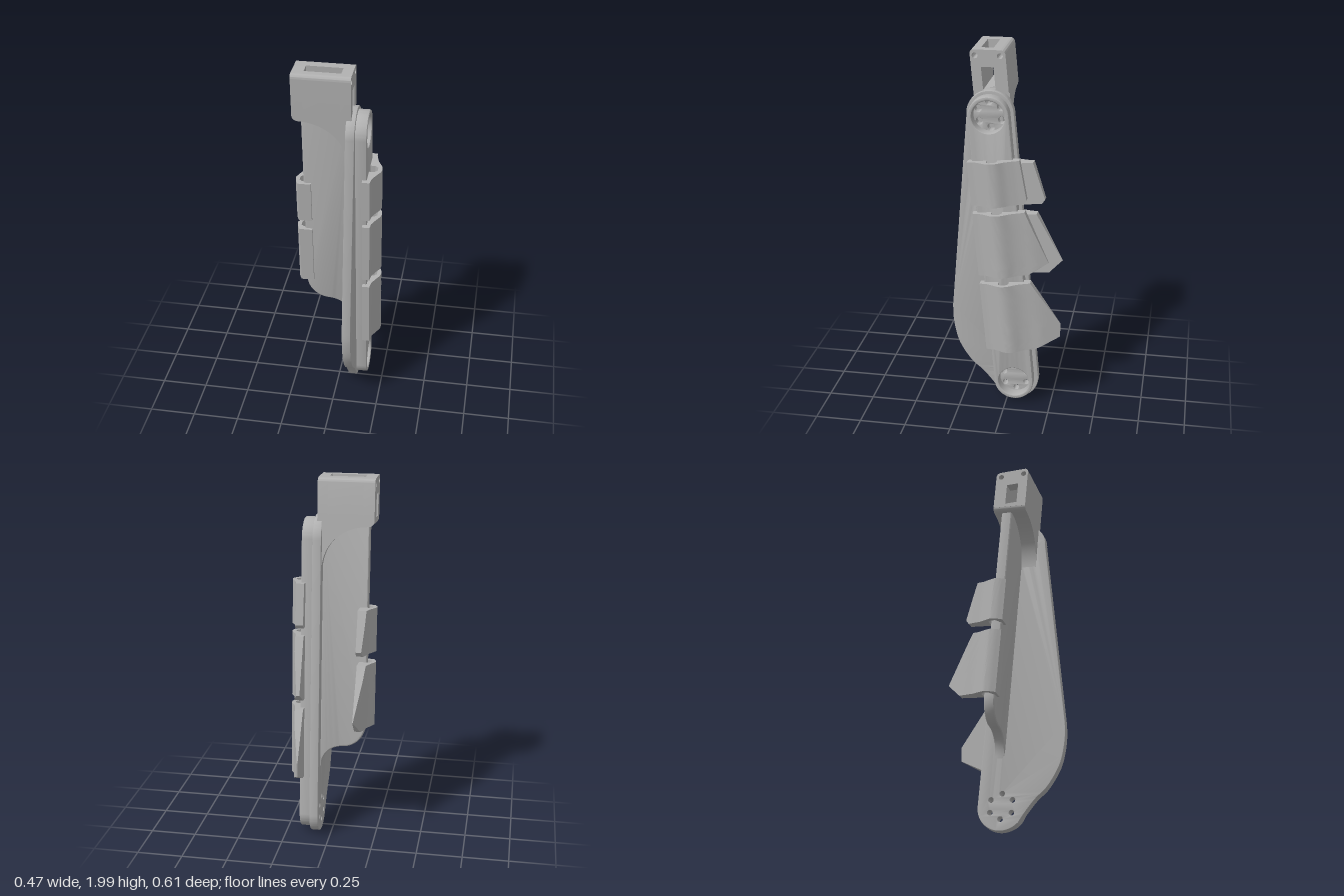
import * as THREE from 'three';
import { toCreasedNormals } from 'three/addons/utils/BufferGeometryUtils.js';

// Leg frame: x = width, v = along the leg, u = across the leg towards the back (local z = -u)
const TILT = 0.088;
const KNEE = 1.536; // distance between the two joint centres

export function createModel() {
  const grey = new THREE.MeshStandardMaterial({ color: 0xb0b0b0 });
  grey.name = 'grey';
  const model = new THREE.Group();
  model.name = 'legLink';
  const leg = new THREE.Group();
  leg.name = 'tiltedLeg';
  leg.position.set(0, 0.14, -0.045);
  leg.rotation.x = TILT;
  model.add(leg);

  const add = (name, geometry, crease = 0.5) => {
    const mesh = new THREE.Mesh(toCreasedNormals(geometry, crease), grey);
    mesh.name = name;
    leg.add(mesh);
  };

  const circle = (u, v, r) => new THREE.Path().absarc(u, v, r, 0, Math.PI * 2, true);

  // Extrudes a (u, v) outline from x0 to x1, or an (x, v) outline from z0 to z1
  const extrude = (shape, a, b, bevel, alongX) => {
    const g = new THREE.ExtrudeGeometry(shape, {
      depth: b - a - 2 * bevel, curveSegments: 20, bevelEnabled: bevel > 0,
      bevelSize: bevel, bevelThickness: bevel, bevelOffset: -bevel, bevelSegments: 3,
    });
    g.translate(0, 0, a + bevel);
    return alongX ? g.rotateY(Math.PI / 2) : g;
  };

  // Six bolt holes around each joint
  const boltHoles = (shape) => {
    for (const v of [0, KNEE]) {
      for (let i = 0; i < 6; i++) {
        const t = (i / 6) * Math.PI * 2 + Math.PI / 2;
        shape.holes.push(circle(0.068 * Math.cos(t), v + 0.068 * Math.sin(t), v ? 0.018 : 0.014));
      }
    }
  };

  // Side plate with the bulging front edge
  const plate = new THREE.Shape();
  plate.moveTo(0.125, KNEE);
  plate.absarc(0, KNEE, 0.125, 0, Math.PI, false);
  plate.lineTo(-0.313, 0.45);
  plate.splineThru([[-0.318, 0.36], [-0.308, 0.26], [-0.285, 0.186], [-0.237, 0.1],
    [-0.182, 0.041], [-0.133, -0.028], [-0.1, -0.083]].map((p) => new THREE.Vector2(...p)));
  plate.absarc(0, 0, 0.13, Math.PI + 0.69, Math.PI * 2, false);
  boltHoles(plate);
  add('sidePlate', extrude(plate, 0.06, 0.108, 0.004, true));

  // Raised rail with a round recess at each joint
  const rail = new THREE.Shape();
  rail.absarc(0, KNEE, 0.108, 0, Math.PI, false);
  rail.absarc(0, 0, 0.108, Math.PI, Math.PI * 2, false);
  rail.holes.push(circle(0, 0, 0.086), circle(0, KNEE, 0.086));
  add('rail', extrude(rail, 0.104, 0.168, 0.007, true));

  // Rear panel with an S-shaped lower end
  const panel = new THREE.Shape();
  panel.moveTo(0.07, 1.63);
  panel.lineTo(-0.187, 1.63);
  panel.lineTo(-0.187, 0.53);
  panel.bezierCurveTo(-0.187, 0.45, -0.13, 0.39, -0.06, 0.39);
  panel.bezierCurveTo(0.0, 0.385, 0.05, 0.35, 0.06, 0.26);
  panel.lineTo(0.07, 0.26);
  add('rearPanel', extrude(panel, -0.064, -0.004, 0.012, false));

  // Curved web joining the mount to the plate
  const web = new THREE.Shape();
  web.moveTo(0.062, 1.64);
  web.lineTo(-0.215, 1.64);
  web.quadraticCurveTo(-0.212, 1.615, -0.185, 1.612);
  web.bezierCurveTo(-0.06, 1.61, 0.06, 1.53, 0.062, 1.365);
  add('mountWeb', extrude(web, -0.104, 0.08, 0, false));

  // Top mount: two ends with a window, and a middle that opens into the top slot
  const U0 = -0.08, U1 = 0.104, W0 = -0.028, W1 = 0.037;
  const topV = (u) => 1.874 - 0.087 * (u - U0);
  const mount = (open) => {
    const s = new THREE.Shape();
    s.moveTo(U0, 1.635);
    s.lineTo(U1, 1.635);
    s.lineTo(U1, topV(U1) - 0.025);
    s.quadraticCurveTo(U1, topV(U1), U1 - 0.025, topV(U1 - 0.025));
    if (open) {
      s.lineTo(W1, topV(W1));
      s.lineTo(W1, 1.66);
      s.lineTo(W0, 1.66);
      s.lineTo(W0, topV(W0));
    } else {
      const w = new THREE.Path();
      w.moveTo(W0, 1.66);
      w.lineTo(W0, 1.78);
      w.lineTo(W1, 1.775);
      w.lineTo(W1, 1.655);
      w.closePath();
      s.holes.push(w);
    }
    s.lineTo(U0 + 0.025, topV(U0 + 0.025));
    s.quadraticCurveTo(U0, topV(U0), U0, topV(U0) - 0.025);
    s.holes.push(circle(-0.055, 1.841, 0.015), circle(0.075, 1.83, 0.015));
    return s;
  };
  [[-0.215, -0.155, false], [-0.155, 0.032, true], [0.032, 0.086, false]].forEach(([a, b, open], i) =>
    add(['mountOuterEnd', 'mountMiddle', 'mountInnerEnd'][i], extrude(mount(open), a, b, 0, true)));

  // Finned guard: rows are [v, back edge u]; profile lists [u, outer x]
  const finGuard = (name, side, profile, channel, rows) => {
    const outerX = (u) => {
      let i = 1;
      while (i < profile.length - 1 && u > profile[i][0]) i++;
      const [a, b] = [profile[i - 1], profile[i]];
      return a[1] + (b[1] - a[1]) * Math.min(1, (u - a[0]) / (b[0] - a[0]));
    };
    const N = 24, IN = 0.145, front = profile[0][0];
    const section = (back) => {
      const ring = [];
      for (let j = 0; j <= N; j++) {
        const u = front + (back - front) * (j / N);
        ring.push(new THREE.Vector2(outerX(u), u));
      }
      [[IN, back - 0.002], [IN, channel + 0.028], [0.195, channel + 0.028], [0.211, channel + 0.014],
        [0.211, channel - 0.014], [0.195, channel - 0.028], [IN, channel - 0.028], [IN, front]]
        .forEach((p) => ring.push(new THREE.Vector2(...p)));
      return ring;
    };
    // Extra rows between the given ones keep the fin surface even
    const fine = [];
    rows.forEach((r, i) => {
      if (i) for (let k = 1; k < 4; k++) fine.push(rows[i - 1].map((q, c) => q + (r[c] - q) * (k / 4)));
      fine.push(r);
    });
    const pos = [], idx = [];
    const rings = fine.map(([v, back]) => {
      const ring = section(back);
      ring.forEach((p) => pos.push(side * p.x, v, -p.y));
      return ring;
    });
    const M = rings[0].length;
    const tri = (a, b, c) => idx.push(...(side > 0 ? [a, b, c] : [a, c, b]));
    for (let i = 0; i < rings.length - 1; i++) {
      for (let j = 0; j < M; j++) {
        const a = i * M + j, b = i * M + ((j + 1) % M);
        tri(a, b, a + M);
        tri(b, b + M, a + M);
      }
    }
    for (const end of [0, rings.length - 1]) {
      const ring = rings[end];
      for (const [a, b, c] of THREE.ShapeUtils.triangulateShape(ring, [])) {
        const area = THREE.ShapeUtils.area([ring[a], ring[b], ring[c]]);
        const o = end * M;
        if ((area > 0) === (end > 0)) tri(o + a, o + b, o + c);
        else tri(o + a, o + c, o + b);
      }
    }
    const g = new THREE.BufferGeometry();
    g.setAttribute('position', new THREE.Float32BufferAttribute(pos, 3));
    g.setIndex(idx);
    add(name, g, 0.45);
  };

  // Three guards on the left side
  const wide = [[-0.131, 0.185], [-0.095, 0.19], [-0.06, 0.208], [-0.025, 0.23], [0, 0.235],
    [0.03, 0.229], [0.07, 0.207], [0.12, 0.193], [0.18, 0.186], [0.287, 0.149]];
  finGuard('upperLeftGuard', 1, wide, 0, [[1.066, 0.15], [1.085, 0.166], [1.306, 0.146]]);
  finGuard('middleLeftGuard', 1, wide, 0, [[0.664, 0.14], [0.72, 0.25], [1.02, 0.15]]);
  finGuard('lowerLeftGuard', 1, wide, 0, [[0.217, 0.14], [0.276, 0.28], [0.356, 0.287], [0.614, 0.147]]);

  // Two guards on the right side, clipped over the panel edge
  const narrow = [[-0.01, 0.215], [0.02, 0.23], [0.05, 0.235], [0.08, 0.222], [0.12, 0.202],
    [0.18, 0.187], [0.28, 0.148]];
  finGuard('upperRightGuard', -1, narrow, 0.045, [[0.94, 0.19], [0.965, 0.21], [1.18, 0.16]]);
  finGuard('lowerRightGuard', -1, narrow, 0.045, [[0.527, 0.2], [0.598, 0.28], [0.88, 0.155]]);

  return model;
}
